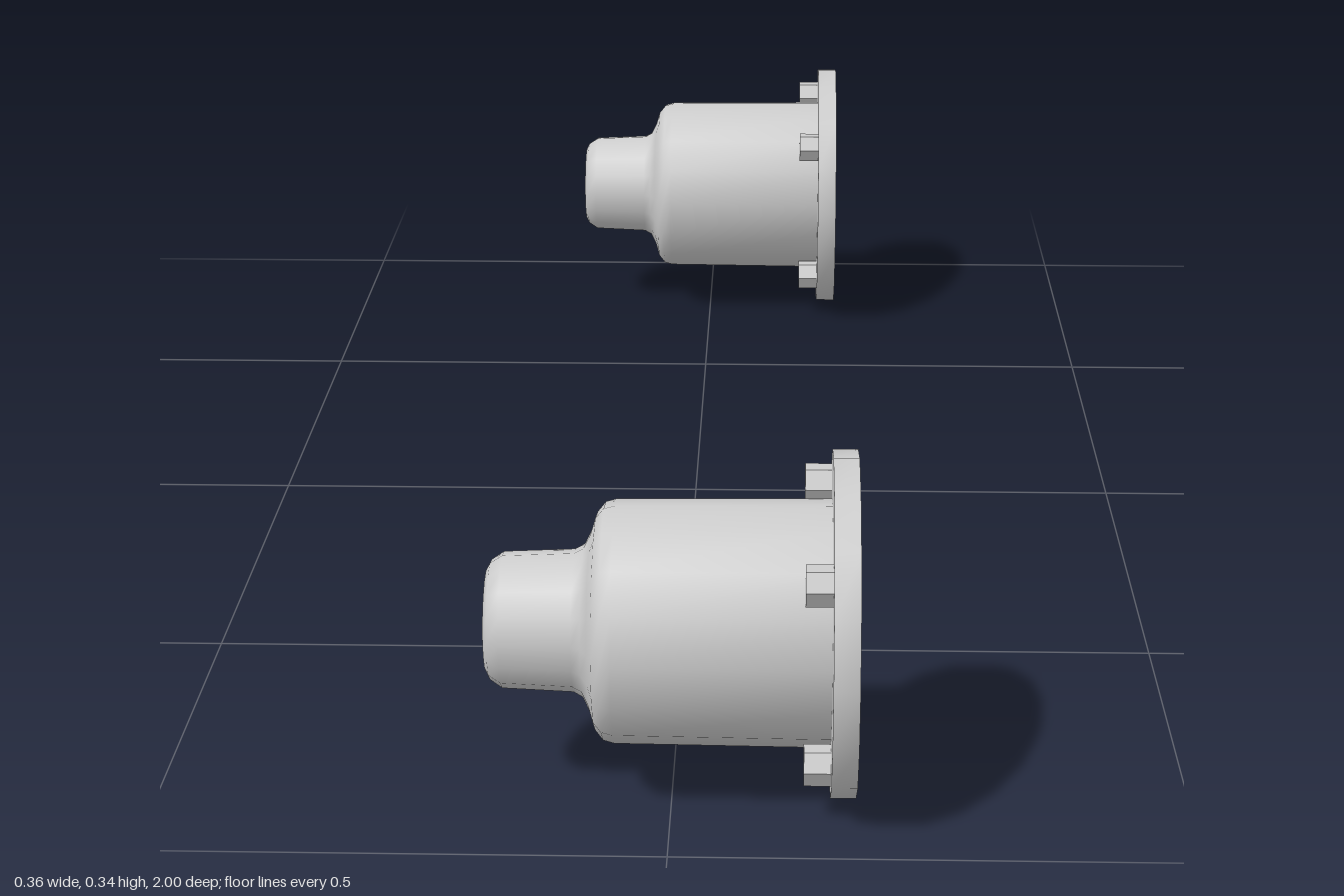
import * as THREE from 'three';
import { toCreasedNormals } from 'three/addons/utils/BufferGeometryUtils.js';

const material = new THREE.MeshStandardMaterial({ color: 0xcccccc, side: THREE.DoubleSide });

// Surface turned about the x axis from [x, radius] pairs
function turned(name, profile, sides, crease) {
  const points = profile.map(([x, r]) => new THREE.Vector2(r, x));
  const geometry = new THREE.LatheGeometry(points, sides).rotateZ(-Math.PI / 2);
  const mesh = new THREE.Mesh(toCreasedNormals(geometry, crease), material);
  mesh.name = name;
  return mesh;
}

function polygon(Type, r, sides, cx = 0, cy = 0) {
  const points = [];
  for (let i = 0; i < sides; i++) {
    const a = (i / sides) * Math.PI * 2;
    points.push(new THREE.Vector2(cx + r * Math.cos(a), cy + r * Math.sin(a)));
  }
  return new Type(points);
}

// Boss centres as [z, y] from the axis
const bosses = [[0.113, 0.083], [-0.085, 0.112], [0.083, -0.112], [-0.115, -0.085]];

function createHousing() {
  const housing = new THREE.Group();

  // Outer shell: neck, rounded shoulder, barrel
  housing.add(turned('outerShell', [
    [-0.18, 0.045], [-0.18, 0.05], [-0.176, 0.058], [-0.164, 0.066], [-0.095, 0.069],
    [-0.086, 0.074], [-0.079, 0.088], [-0.074, 0.105], [-0.066, 0.115], [-0.055, 0.118],
    [0.155, 0.12],
  ], 16, 0.75));

  // Cavity, open at the flange
  housing.add(turned('innerCavity', [
    [0.178, 0.118], [-0.05, 0.108], [-0.075, 0.07], [-0.14, 0.06], [-0.14, 0.04],
  ], 8, 0.85));

  // Hollow central post, closed at its front end
  housing.add(turned('centralPost', [
    [-0.18, 0.047], [-0.14, 0.043], [0.14, 0.042], [0.14, 0],
  ], 7, 0.6));

  // Flange with the cavity opening and screw holes
  const shape = polygon(THREE.Shape, 0.168, 16);
  shape.holes.push(polygon(THREE.Path, 0.118, 8));
  for (const [z, y] of bosses) shape.holes.push(polygon(THREE.Path, 0.012, 6, -z, y));
  const plate = new THREE.ExtrudeGeometry(shape, { depth: 0.025, bevelEnabled: false });
  plate.rotateY(Math.PI / 2).translate(0.153, 0, 0);
  const flange = new THREE.Mesh(toCreasedNormals(plate, 0.6), material);
  flange.name = 'flange';
  housing.add(flange);

  // Blind screw bosses behind the flange
  bosses.forEach(([z, y], i) => {
    const boss = turned('screwBoss' + (i + 1), [
      [0.153, 0.012], [0.132, 0.012], [0.132, 0],
    ], 6, 0.6);
    const shell = turned('bossShell', [[0.127, 0], [0.127, 0.02], [0.153, 0.02]], 6, 0.6);
    boss.add(shell);
    boss.position.set(0, y, z);
    housing.add(boss);
  });
  return housing;
}

export function createModel() {
  const model = new THREE.Group();
  model.name = 'housingPair';
  // Two matching housings facing the same way
  for (const [name, z] of [['frontHousing', 0.832], ['rearHousing', -0.832]]) {
    const housing = createHousing();
    housing.name = name;
    housing.position.set(0, 0.17, z);
    model.add(housing);
  }
  return model;
}
